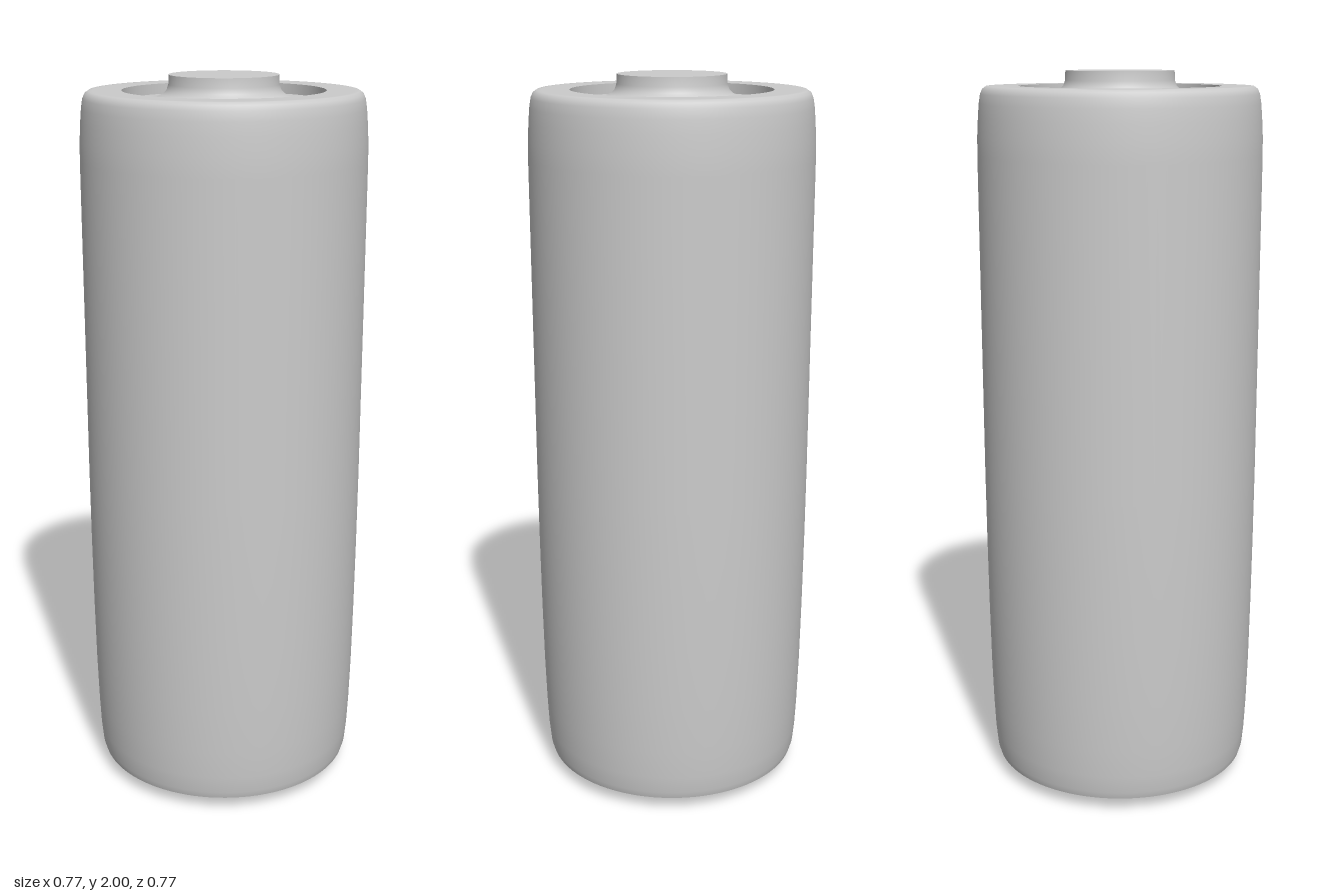
import * as THREE from 'three';

const SEGMENTS = 96;
const material = new THREE.MeshStandardMaterial({ color: 0xcccccc, side: THREE.DoubleSide });

// Each run of [radius, y] points is revolved separately, so edges between runs stay sharp.
function turned(name, runs) {
  const group = new THREE.Group();
  group.name = name;
  runs.forEach((run, i) => {
    const points = run.map(([r, y]) => new THREE.Vector2(r, y));
    const mesh = new THREE.Mesh(new THREE.LatheGeometry(points, SEGMENTS), material);
    mesh.name = `${name}Surface${i + 1}`;
    group.add(mesh);
  });
  return group;
}

export function createModel() {
  const model = new THREE.Group();
  model.name = 'batteryCell';

  // Outer sleeve: gently tapered foot, straight wall, rounded shoulder, flat rim, recess wall
  model.add(turned('sleeve', [
    [[0.33, 0.04], [0.36, 0.04]],
    [[0.36, 0.04], [0.366, 0.06], [0.371, 0.11], [0.375, 0.19], [0.379, 0.32], [0.382, 0.5],
      [0.384, 0.7], [0.385, 0.9], [0.385, 1.78], [0.384, 1.83], [0.381, 1.88], [0.378, 1.915],
      [0.374, 1.94], [0.368, 1.953], [0.358, 1.96], [0.345, 1.96]],
    [[0.345, 1.96], [0.271, 1.96]],
    [[0.271, 1.96], [0.271, 1.932]],
  ]));

  // Shallow dished base
  model.add(turned('negativeCap', [
    [[0, 0], [0.1, 0.002], [0.2, 0.005], [0.27, 0.01], [0.305, 0.017], [0.322, 0.027], [0.335, 0.04]],
  ]));

  // Recessed plate sweeping up into the raised contact
  model.add(turned('positiveCap', [
    [[0.271, 1.932], [0.22, 1.934], [0.185, 1.94], [0.163, 1.949], [0.152, 1.96], [0.147, 1.975], [0.146, 2]],
    [[0.146, 2], [0, 2]],
  ]));

  return model;
}
